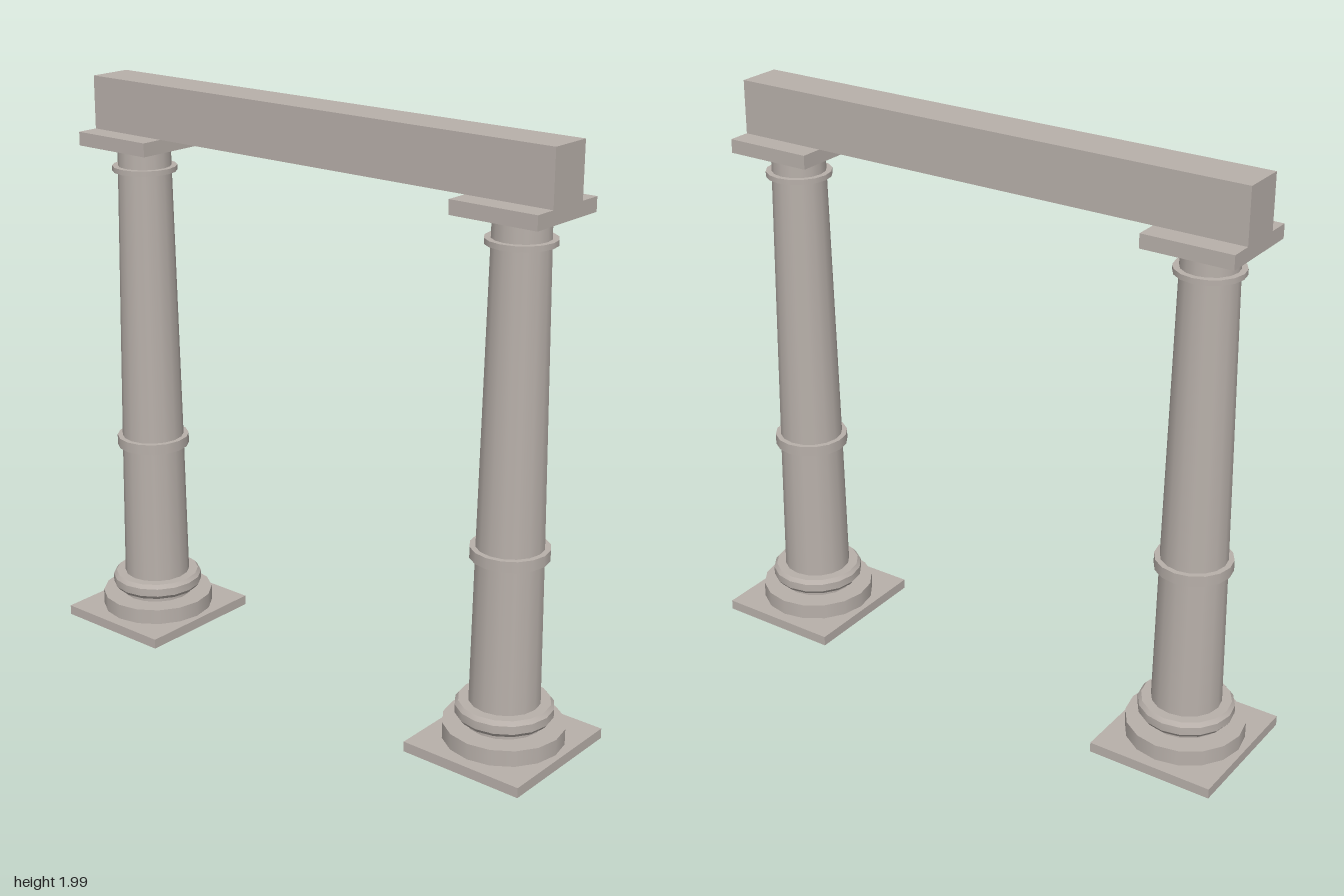
import * as THREE from 'three';
import { toCreasedNormals } from 'three/addons/utils/BufferGeometryUtils.js';

const SIDES = 16;
const COLUMN_X = 0.78;

export function createModel() {
  const group = new THREE.Group();
  group.name = 'columnGateway';
  const stone = new THREE.MeshStandardMaterial({ color: 0xb8b0aa });
  stone.name = 'warm grey stone';

  const add = (parent, name, geometry, y = 0) => {
    const mesh = new THREE.Mesh(geometry, stone);
    mesh.name = name;
    mesh.position.y = y;
    parent.add(mesh);
  };
  // Box and drum spanning the heights y0 to y1
  const slab = (parent, name, w, d, y0, y1) =>
    add(parent, name, new THREE.BoxGeometry(w, y1 - y0, d), (y0 + y1) / 2);
  const drum = (parent, name, rBottom, rTop, y0, y1) =>
    add(parent, name, new THREE.CylinderGeometry(rTop, rBottom, y1 - y0, SIDES), (y0 + y1) / 2);

  for (const side of [-1, 1]) {
    const column = new THREE.Group();
    column.name = side > 0 ? 'leftColumn' : 'rightColumn';
    column.position.x = side * COLUMN_X;
    group.add(column);

    // Stepped foot
    slab(column, 'plinth', 0.44, 0.48, 0, 0.035);
    drum(column, 'baseDisc', 0.2, 0.2, 0.035, 0.09);
    drum(column, 'baseNeck', 0.127, 0.127, 0.09, 0.115);

    // Bevelled ring around the foot of the shaft
    const profile = [
      [0.1, 0.112], [0.15, 0.112], [0.161, 0.126], [0.161, 0.154], [0.15, 0.168], [0.1, 0.168],
    ].map(([r, y]) => new THREE.Vector2(r, y));
    add(column, 'baseRing', toCreasedNormals(new THREE.LatheGeometry(profile, SIDES), 0.45));

    // Tapered shaft with two bands
    drum(column, 'lowerShaft', 0.118, 0.11, 0.112, 0.68);
    drum(column, 'middleBand', 0.128, 0.128, 0.665, 0.702);
    drum(column, 'upperShaft', 0.11, 0.091, 0.68, 1.76);
    drum(column, 'upperBand', 0.112, 0.112, 1.669, 1.687);

    // Square capital
    slab(column, 'capital', 0.31, 0.31, 1.758, 1.805);
  }

  // Beam across both capitals
  slab(group, 'beam', 1.87, 0.154, 1.805, 1.987);
  return group;
}
